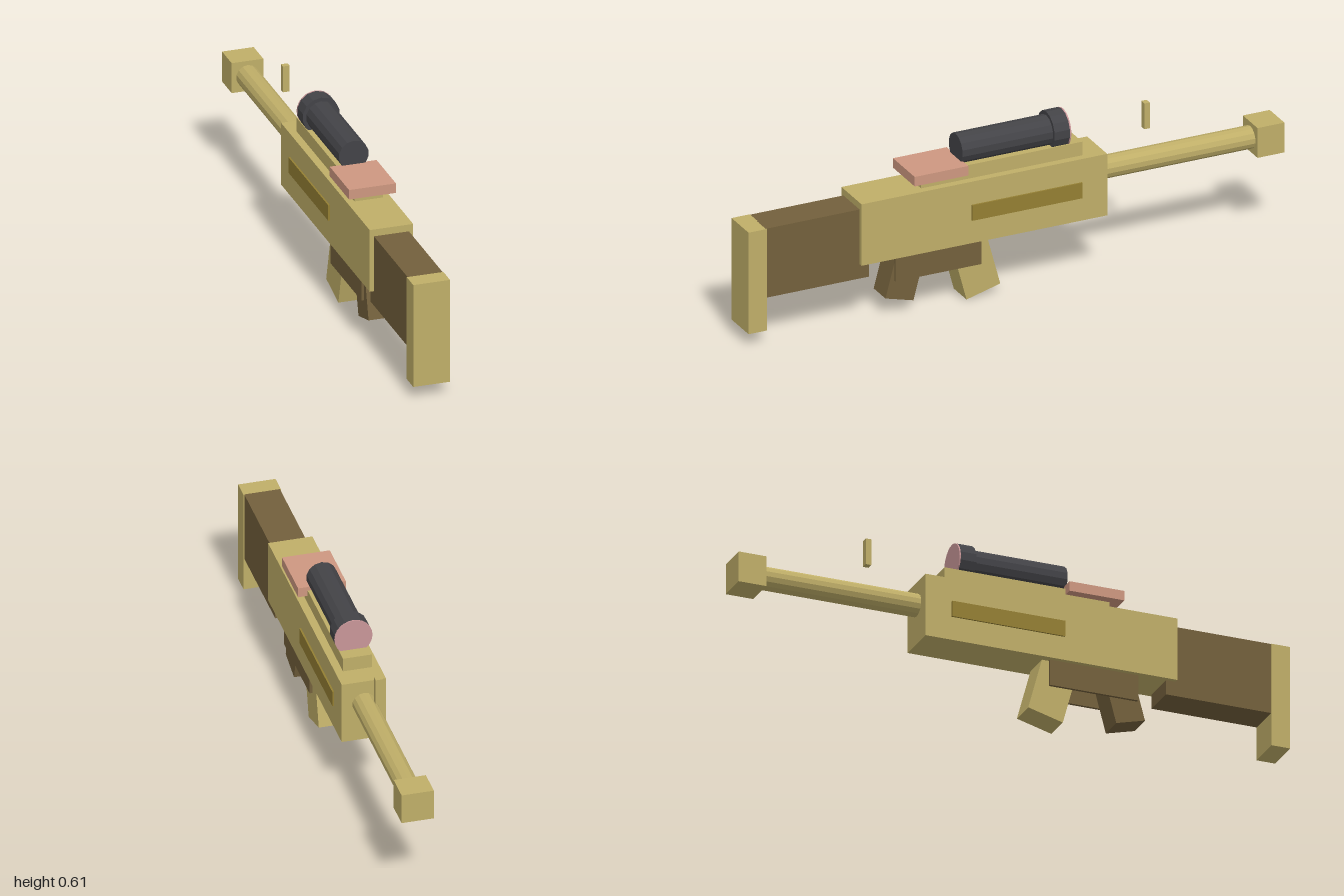
import * as THREE from 'three';

const material = (name, color) => {
  const m = new THREE.MeshStandardMaterial({ color, flatShading: true });
  m.name = name;
  return m;
};

export function createModel() {
  const gold = material('gold', 0xbfae68);
  const brown = material('brown', 0x73603c);
  const darkGold = material('dark gold', 0x947f33);
  const charcoal = material('charcoal', 0x434347);
  const copper = material('copper', 0xcd9780);
  const rose = material('rose', 0xc89698);

  const group = new THREE.Group();
  group.name = 'toyRifle';

  const add = (name, geometry, mat, x, y, z) => {
    const mesh = new THREE.Mesh(geometry, mat);
    mesh.name = name;
    mesh.position.set(x, y, z);
    group.add(mesh);
    return mesh;
  };
  // Box given by its lower and upper limits on each axis
  const box = (name, mat, [x0, x1], [y0, y1], [z0, z1]) =>
    add(name, new THREE.BoxGeometry(x1 - x0, y1 - y0, z1 - z0), mat,
      (x0 + x1) / 2, (y0 + y1) / 2, (z0 + z1) / 2);
  // Box centred on x = 0
  const block = (name, mat, halfWidth, ys, zs) =>
    box(name, mat, [-halfWidth, halfWidth], ys, zs);
  // Cylinder lying along z
  const rod = (name, mat, radius, y, [z0, z1], sides) =>
    add(name, new THREE.CylinderGeometry(radius, radius, z1 - z0, sides).rotateX(Math.PI / 2),
      mat, 0, y, (z0 + z1) / 2);

  // Body and top rail
  block('body', gold, 0.077, [0.223, 0.45], [-0.33, 0.585]);
  block('rail', gold, 0.05, [0.45, 0.5], [-0.25, 0.35]);
  block('rearPlate', copper, 0.083, [0.479, 0.514], [0.19, 0.39]);

  // Stock
  block('stock', brown, 0.062, [0.17, 0.425], [0.55, 0.935]);
  block('buttPlate', gold, 0.065, [0.05, 0.425], [0.932, 1]);

  // Barrel, muzzle and front sight
  rod('barrel', gold, 0.04, 0.365, [-0.92, -0.32], 14);
  block('muzzle', gold, 0.056, [0.31, 0.42], [-1, -0.9]);
  block('frontSight', gold, 0.012, [0.479, 0.574], [-0.52, -0.5]);

  // Scope
  rod('scopeTube', charcoal, 0.053, 0.547, [-0.16, 0.197], 14);
  rod('scopeRing', charcoal, 0.066, 0.547, [-0.198, -0.14], 14);
  rod('lens', rose, 0.066, 0.547, [-0.202, -0.197], 24);

  // Side panels and trigger guard plates
  for (const s of [-1, 1]) {
    const side = s < 0 ? 'right' : 'left';
    const span = (a, b) => (s > 0 ? [a, b] : [-b, -a]);
    box(side + 'Panel', darkGold, span(0.075, 0.083), [0.308, 0.365], [-0.235, 0.175]);
    box(side + 'GuardPlate', brown, span(0.05, 0.06), [0.13, 0.23], [0.13, 0.45]);
  }

  // Slanted grip and magazine
  const slant = THREE.MathUtils.degToRad(15);
  add('grip', new THREE.BoxGeometry(0.09, 0.22, 0.108), brown, 0, 0.16, 0.4).rotation.x = -slant;
  add('magazine', new THREE.BoxGeometry(0.098, 0.25, 0.13), gold, 0, 0.142, 0.15).rotation.x = slant;

  return group;
}
